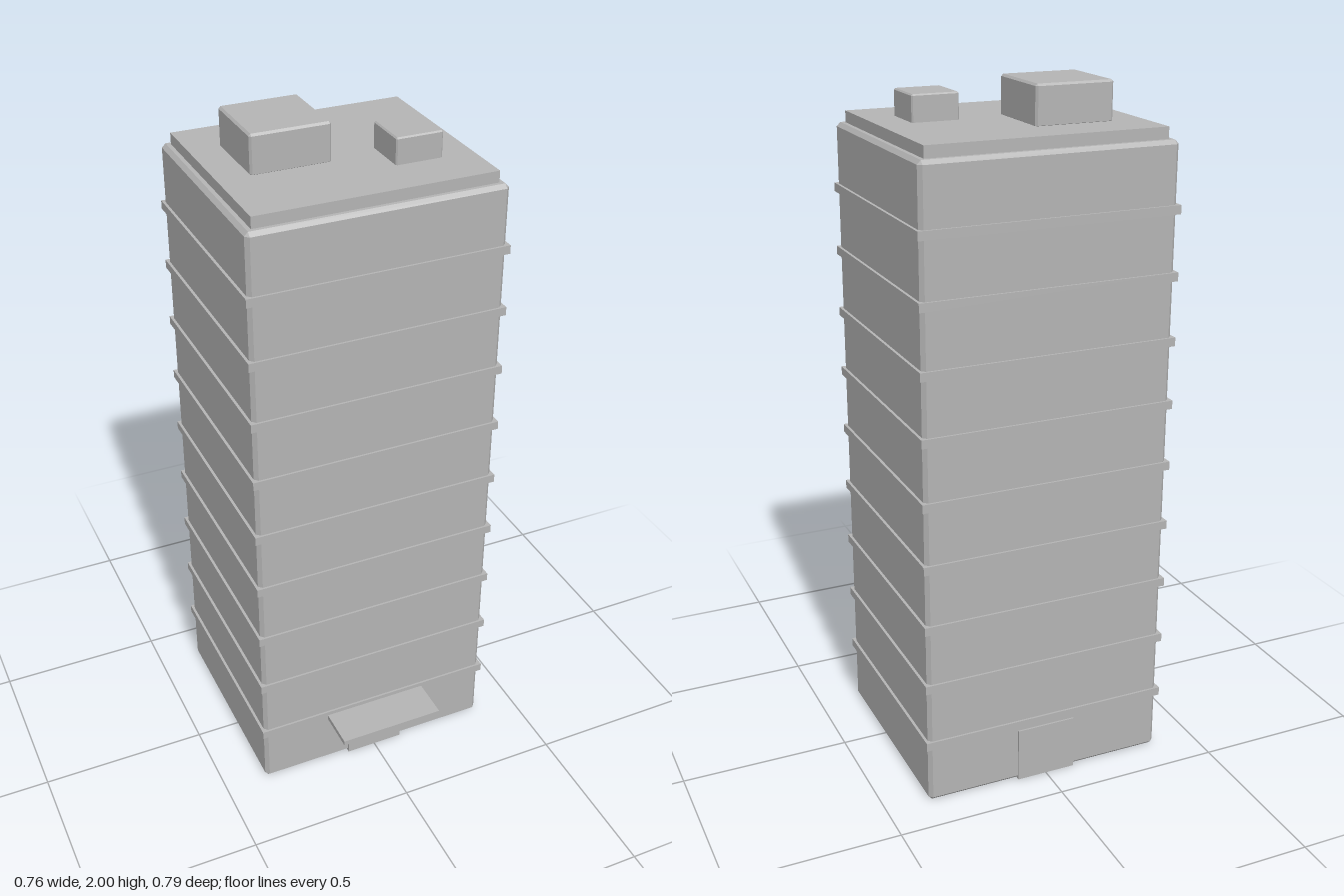
import * as THREE from 'three';
import { ConvexGeometry } from 'three/addons/geometries/ConvexGeometry.js';

const concrete = new THREE.MeshStandardMaterial({ color: 0xb4b4b4 });
concrete.name = 'concrete grey';

// Box given by its min/max corners; a bevel above 0 chamfers every edge
function block(name, [x0, x1], [y0, y1], [z0, z1], bevel = 0) {
  const half = [(x1 - x0) / 2, (y1 - y0) / 2, (z1 - z0) / 2];
  let geometry;
  if (bevel > 0) {
    const points = [];
    for (const sx of [-1, 1]) for (const sy of [-1, 1]) for (const sz of [-1, 1])
      for (let face = 0; face < 3; face++) {
        const p = half.map((h, i) => (i === face ? h : h - bevel));
        points.push(new THREE.Vector3(sx * p[0], sy * p[1], sz * p[2]));
      }
    geometry = new ConvexGeometry(points);
  } else {
    geometry = new THREE.BoxGeometry(...half.map((h) => h * 2));
  }
  const mesh = new THREE.Mesh(geometry, concrete);
  mesh.name = name;
  mesh.position.set((x0 + x1) / 2, (y0 + y1) / 2, (z0 + z1) / 2);
  return mesh;
}

export function createModel() {
  const tower = new THREE.Group();
  tower.name = 'towerBlock';

  // Main body with chamfered edges
  tower.add(block('body', [-0.37, 0.37], [0, 1.857], [-0.388, 0.262], 0.011));

  // Thin ledge around every floor
  const ledges = new THREE.Group();
  ledges.name = 'floorLedges';
  for (let i = 0; i < 9; i++) {
    const y = 0.187 + i * 0.1855;
    ledges.add(block('floorLedge', [-0.378, 0.378], [y - 0.0125, y + 0.0125], [-0.394, 0.268]));
  }
  tower.add(ledges);

  // Entrances front and back, with a canopy over the front one
  tower.add(block('frontDoor', [-0.09, 0.09], [0, 0.165], [0.24, 0.267]));
  tower.add(block('backDoor', [-0.09, 0.09], [0, 0.165], [-0.393, -0.366]));
  tower.add(block('canopy', [-0.162, 0.162], [0.171, 0.187], [0.25, 0.392]));

  // Roof slab and the two plant rooms on it
  tower.add(block('roofSlab', [-0.347, 0.347], [1.85, 1.89], [-0.365, 0.24]));
  tower.add(block('largePlantRoom', [-0.255, -0.025], [1.885, 2], [-0.225, 0.005], 0.006));
  tower.add(block('smallPlantRoom', [0.116, 0.253], [1.885, 1.965], [-0.04, 0.099], 0.004));

  return tower;
}
